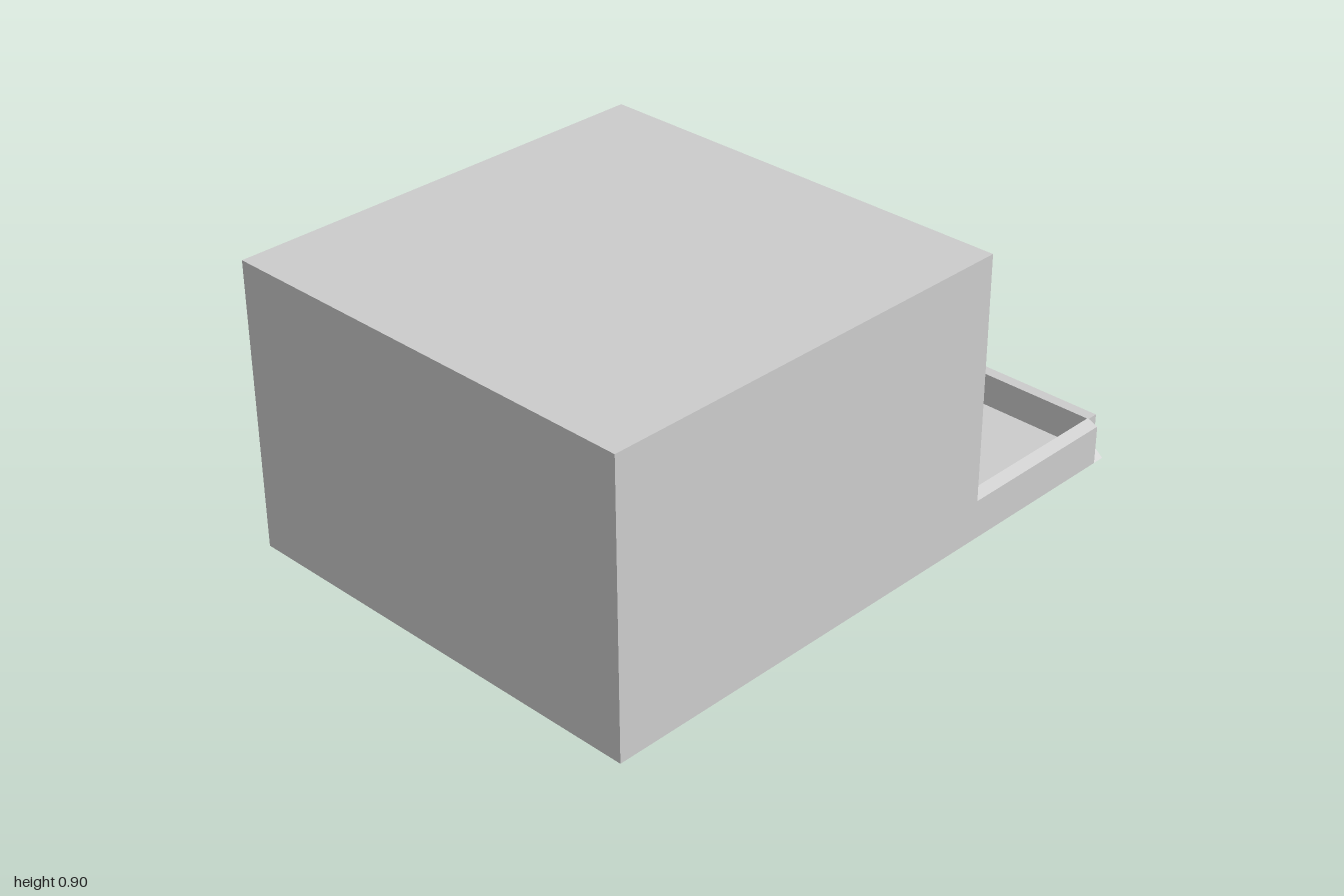
import * as THREE from 'three';

const W = 0.7;        // half width
const T = 0.035;      // wall thickness
const FLOOR = 0.03;   // top of the floor slab
const H = 0.9;        // roof height
const BACK = -0.4;    // rear wall of the house

const material = new THREE.MeshStandardMaterial({ color: 0xcccccc, flatShading: true });

function add(group, name, geometry) {
  const mesh = new THREE.Mesh(geometry, material);
  mesh.name = name;
  group.add(mesh);
}

// Box given by its limits on each axis
function box(x0, x1, y0, y1, z0, z1) {
  return new THREE.BoxGeometry(x1 - x0, y1 - y0, z1 - z0)
    .translate((x0 + x1) / 2, (y0 + y1) / 2, (z0 + z1) / 2);
}

function polygon(points) {
  return new THREE.Shape(points.map(([x, y]) => new THREE.Vector2(x, y)));
}

function rect(x0, x1, y0, y1) {
  return polygon([[x0, y0], [x1, y0], [x1, y1], [x0, y1]]);
}

// Outline in x and y, drawn out from z0 to z1
function extrude(shape, z0, z1) {
  return new THREE.ExtrudeGeometry(shape, { depth: z1 - z0, bevelEnabled: false }).translate(0, 0, z0);
}

export function createModel() {
  const model = new THREE.Group();
  model.name = 'house';
  const inner = W - T;

  // Floor slab with sloped long edges, shared by house and terrace
  add(model, 'floorSlab', extrude(polygon([[-W, 0], [W, 0], [inner, FLOOR], [-inner, FLOOR]]), -1, 1));

  // Hollow house body
  add(model, 'frontWall', box(-W, W, 0, H - T, 1 - T, 1));
  add(model, 'roof', box(-W, W, H - T, H, BACK, 1));

  // Rear wall with a doorway and two windows
  const rear = rect(-W, W, 0, H - T);
  rear.holes.push(
    rect(-0.1, 0.1, FLOOR, 0.41),
    rect(-0.44, -0.205, 0.145, 0.41),
    rect(0.205, 0.44, 0.145, 0.41),
  );
  add(model, 'rearWall', extrude(rear, BACK, BACK + T));

  for (const s of [-1, 1]) {
    const side = s > 0 ? 'left' : 'right';
    const [x0, x1] = s > 0 ? [inner, W] : [-W, -inner];
    add(model, side + 'HouseWall', box(x0, x1, 0, H - T, BACK + T, 1 - T));

    // Terrace parapet, its top falling outwards
    const [y0, y1] = s > 0 ? [0.14, 0.125] : [0.125, 0.14];
    add(model, side + 'Parapet', extrude(polygon([[x0, 0], [x1, 0], [x1, y1], [x0, y0]]), -0.96, BACK));
  }

  // Rear parapet stops short of the open corners
  add(model, 'rearParapet', box(-inner, inner, FLOOR, 0.135, -1, -0.963));

  return model;
}
